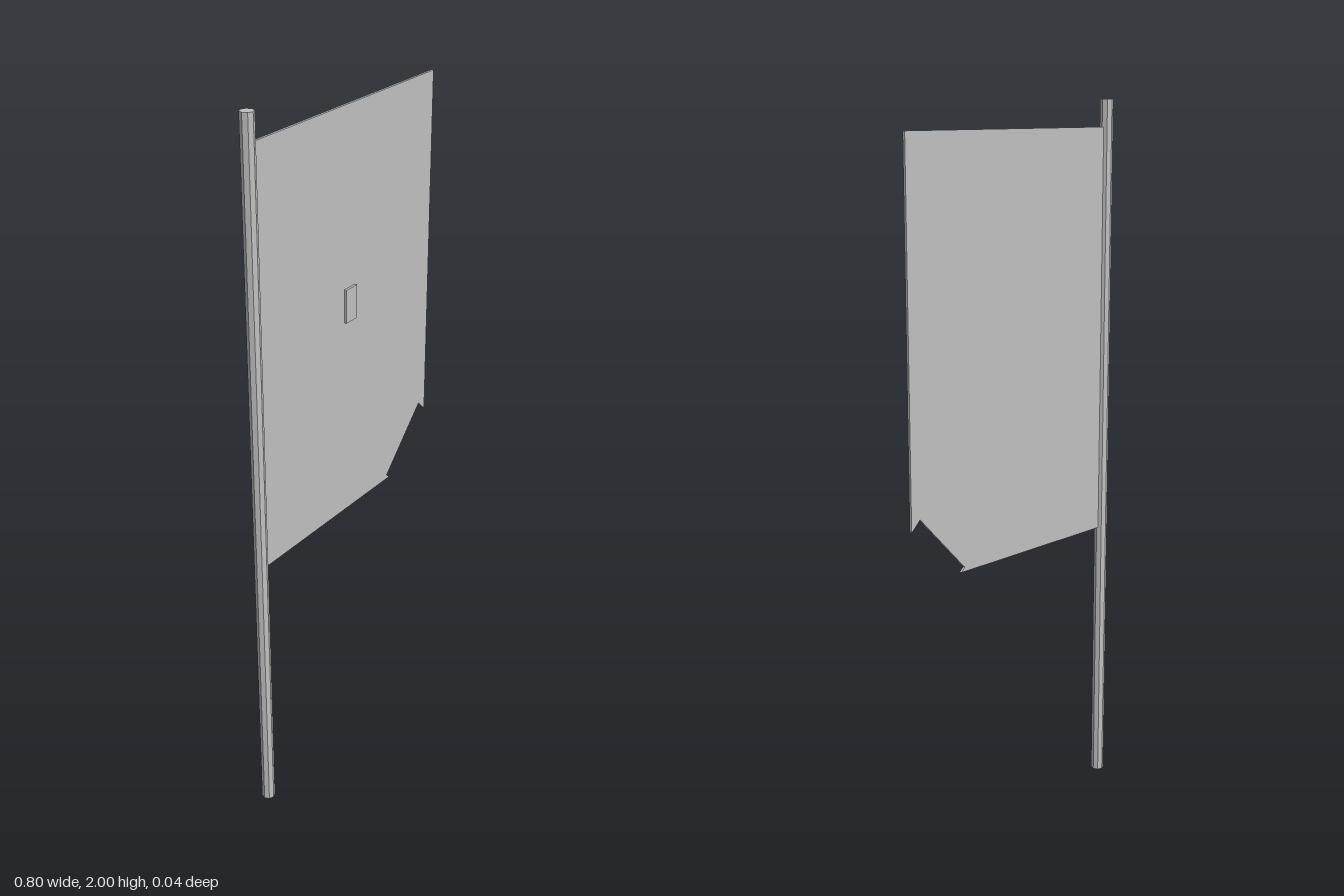
import * as THREE from 'three';

export function createModel() {
  const group = new THREE.Group();
  const grey = new THREE.MeshStandardMaterial({ color: 0xc0c0c0, flatShading: true });
  grey.name = 'light grey';

  const add = (name, geometry, x, y, z) => {
    const mesh = new THREE.Mesh(geometry, grey);
    mesh.name = name;
    mesh.position.set(x, y, z);
    group.add(mesh);
  };

  // Eight-sided pole, full height
  add('pole', new THREE.CylinderGeometry(0.0185, 0.0185, 2, 8), -0.3815, 1, 0);

  // Thin flag panel with a notched cut across its lower outer corner
  const outline = [
    [-0.38, 0.773], [0.218, 0.773], [0.205, 0.785], [0.369, 0.951],
    [0.4, 0.922], [0.4, 1.925], [-0.38, 1.925],
  ].map(([x, y]) => new THREE.Vector2(x, y));
  const panel = new THREE.ExtrudeGeometry(new THREE.Shape(outline), { depth: 0.007, bevelEnabled: false });
  add('flagPanel', panel, 0, 0, -0.004);

  // Small raised plate on the front of the panel
  add('frontPlate', new THREE.BoxGeometry(0.046, 0.094, 0.008), 0.016, 1.392, 0.006);

  return group;
}
